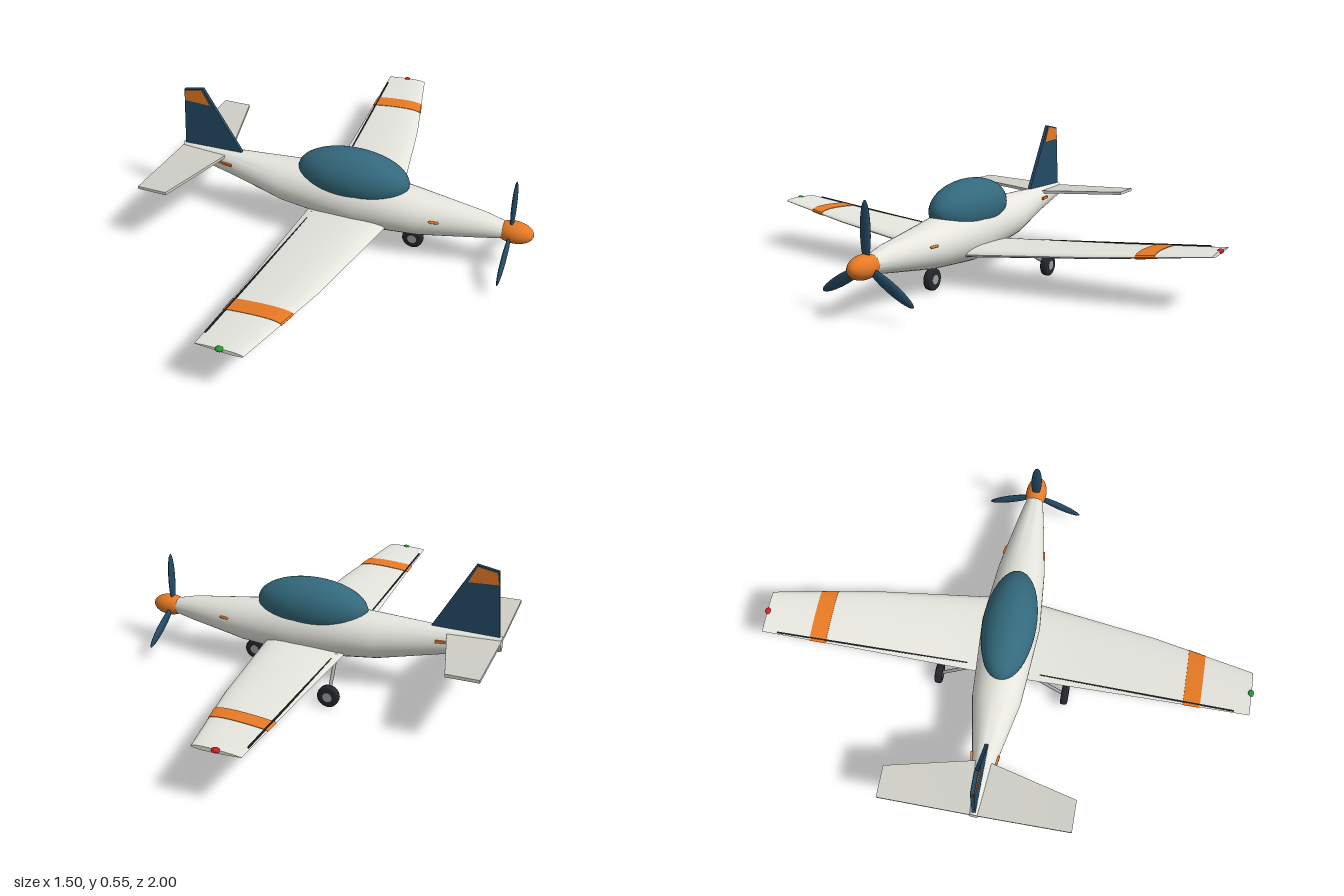
import * as THREE from 'three';
import { toCreasedNormals } from 'three/addons/utils/BufferGeometryUtils.js';

const mat = (color) => new THREE.MeshStandardMaterial({ color });
const V = (x, y, z) => new THREE.Vector3(x, y, z);

// Skin a row of closed rings and close both ends
function loft(rings, crease = 0.6) {
  const n = rings[0].length, pos = [], idx = [];
  rings.forEach((r) => r.forEach((p) => pos.push(p.x, p.y, p.z)));
  for (let i = 0; i < rings.length - 1; i++) {
    for (let j = 0; j < n; j++) {
      const a = i * n + j, b = i * n + (j + 1) % n;
      idx.push(a, a + n, b, b, a + n, b + n);
    }
  }
  [0, rings.length - 1].forEach((i) => {
    const c = rings[i].reduce((s, p) => s.add(p), V(0, 0, 0)).divideScalar(n);
    const k = pos.length / 3;
    pos.push(c.x, c.y, c.z);
    for (let j = 0; j < n; j++) {
      const a = i * n + j, b = i * n + (j + 1) % n;
      if (i === 0) idx.push(k, a, b); else idx.push(k, b, a);
    }
  });
  const g = new THREE.BufferGeometry();
  g.setAttribute('position', new THREE.Float32BufferAttribute(pos, 3));
  g.setIndex(idx);
  return toCreasedNormals(g, crease);
}

// Wing stations: z, leading edge x, trailing edge x, height y, thickness
const WING = [[0, 0.194, -0.155, 0.124, 0.044], [0.59, 0.1, -0.16, 0.171, 0.028], [0.99, 0.01, -0.167, 0.207, 0.014]];

function wingStation(z) {
  const s = Math.abs(z), i = s > WING[1][0] ? 1 : 0;
  const k = (s - WING[i][0]) / (WING[i + 1][0] - WING[i][0]);
  return WING[i].map((v, j) => THREE.MathUtils.lerp(v, WING[i + 1][j], k));
}

// Aerofoil ring: over the top from trailing to leading edge, back underneath
function wingRing(z, grow = 0) {
  const [, le, te, y, t] = wingStation(z), ring = [], n = 12;
  for (let j = 0; j < 2 * n; j++) {
    const a = (j / n) * Math.PI;
    const c = 0.5 + 0.5 * Math.cos(a); // 1 at trailing edge, 0 at leading edge
    const h = Math.sin(a) * (0.35 + 0.75 * (1 - c)) * (j < n ? 0.75 : 0.6);
    ring.push(V(le + grow - c * (le - te + 2 * grow), y + h * t + Math.sign(Math.round(h * 1e6)) * grow, z));
  }
  return ring;
}

export function createModel() {
  const root = new THREE.Group();
  root.name = 'airplane';
  const white = mat(0xe6e6df), grey = mat(0xcfcfc8), orange = mat(0xe87a24);
  const navy = mat(0x234b66), glass = mat(0x33697c), black = mat(0x24262c);
  const metal = mat(0x9a9c9e), red = mat(0xd02020), green = mat(0x1f9a30);

  const add = (name, geo, material, x = 0, y = 0, z = 0, parent = root) => {
    const m = new THREE.Mesh(geo, material);
    m.name = name;
    m.position.set(x, y, z);
    parent.add(m);
    return m;
  };
  const ball = (rx, ry, rz, w = 32, h = 20) => new THREE.SphereGeometry(1, w, h).scale(rx, ry, rz);
  const rod = (name, a, b, r, material) => {
    const m = add(name, new THREE.CylinderGeometry(r, r, a.distanceTo(b), 12), material);
    m.position.copy(a).lerp(b, 0.5);
    m.quaternion.setFromUnitVectors(V(0, 1, 0), b.clone().sub(a).normalize());
  };

  // Fuselage: x, bottom, top, half width
  const hull = [
    [-0.75, 0.22, 0.28, 0.018], [-0.52, 0.169, 0.283, 0.05], [-0.28, 0.113, 0.289, 0.098],
    [0.05, 0.07, 0.303, 0.12], [0.3, 0.09, 0.264, 0.098], [0.55, 0.13, 0.233, 0.052], [0.63, 0.146, 0.213, 0.035],
  ].map(([x, b, t, w]) => Array.from({ length: 36 }, (_, j) => {
    const a = (j / 36) * Math.PI * 2;
    return V(x, (b + t) / 2 + (t - b) / 2 * Math.sin(a), w * Math.cos(a));
  }));
  add('fuselage', loft(hull), white);
  add('canopy', ball(0.233, 0.11, 0.108, 40, 28), glass, 0.011, 0.286, 0);

  // Wing, one skin from tip to tip
  add('wing', loft([-0.99, -0.79, -0.59, -0.3, 0, 0.3, 0.59, 0.79, 0.99].map((z) => wingRing(z))), white);

  // Parts on both sides
  for (const s of [1, -1]) {
    const side = s > 0 ? 'right' : 'left';
    const band = [s * 0.73, s * 0.797].sort((a, b) => a - b);
    add(side + 'WingStripe', loft(band.map((z) => wingRing(z, 0.002))), orange);
    add(side + 'TipLight', ball(0.015, 0.009, 0.012, 16, 10), s > 0 ? green : red, -0.077, 0.211, s * 0.988);

    // Hinge line of the control surfaces
    const a = V(-0.129, 0.139, s * 0.15), b = V(-0.159, 0.204, s * 0.93);
    const hinge = add(side + 'HingeLine', new THREE.BoxGeometry(0.005, 0.008, a.distanceTo(b)), black);
    hinge.position.copy(a).lerp(b, 0.5);
    hinge.lookAt(b);

    add(side + 'Exhaust', new THREE.CapsuleGeometry(0.005, 0.03, 4, 10).rotateZ(Math.PI / 2),
      orange, 0.37, 0.2, s * 0.083).rotation.y = s * 0.15;
    add(side + 'TailMarker', new THREE.BoxGeometry(0.065, 0.01, 0.012),
      orange, -0.54, 0.24, s * 0.046).rotation.y = -s * 0.17;

    rod(side + 'GearStrut', V(-0.13, 0.135, s * 0.1), V(-0.163, 0.045, s * 0.262), 0.007, metal);
  }

  // Tailplane with slight dihedral
  const tail = [-0.37, 0, 0.37].map((z) => {
    const k = Math.abs(z) / 0.37, le = -0.538 - 0.09 * k, y = 0.262 + 0.014 * k;
    return [V(-0.75, y - 0.006, z), V(-0.75, y + 0.006, z), V(le, y + 0.006, z), V(le, y - 0.006, z)];
  });
  add('tailplane', loft(tail, 0.3), grey);

  // Fin and its coloured cap
  const plate = (pts, depth) => new THREE.ExtrudeGeometry(
    new THREE.Shape(pts.map(([x, y]) => new THREE.Vector2(x, y))), { depth, bevelEnabled: false }).translate(0, 0, -depth / 2);
  add('fin', plate([[-0.742, 0.265], [-0.475, 0.265], [-0.48, 0.285], [-0.635, 0.552], [-0.719, 0.536]], 0.014), navy);
  add('finCap', plate([[-0.722, 0.485], [-0.608, 0.48], [-0.64, 0.545], [-0.714, 0.531]], 0.018), orange);

  // Spinner and three-blade propeller
  add('spinner', ball(0.075, 0.044, 0.044), orange, 0.67, 0.178, 0);
  const prop = new THREE.Group();
  prop.name = 'propeller';
  prop.position.set(0.657, 0.178, 0);
  root.add(prop);
  for (let i = 0; i < 3; i++) {
    const blade = add('blade', ball(0.01, 0.11, 0.022, 20, 20).translate(0, 0.12, 0), navy, 0, 0, 0, prop);
    blade.rotation.x = (i * Math.PI * 2) / 3;
  }

  // Wheels: rounded tyre profile and a metal hub
  const tyre = new THREE.LatheGeometry(
    [[0.018, -0.014], [0.036, -0.015], [0.042, -0.011], [0.0435, 0], [0.042, 0.011], [0.036, 0.015], [0.018, 0.014]]
      .map(([r, y]) => new THREE.Vector2(r, y)), 32).rotateX(Math.PI / 2);
  const hub = new THREE.CylinderGeometry(0.019, 0.019, 0.031, 20).rotateX(Math.PI / 2);
  for (const [name, x, z] of [['noseWheel', 0.268, 0], ['leftWheel', -0.163, -0.265], ['rightWheel', -0.163, 0.265]]) {
    const wheel = new THREE.Group();
    wheel.name = name;
    wheel.position.set(x, 0.0435, z);
    root.add(wheel);
    add('tyre', tyre, black, 0, 0, 0, wheel);
    add('hub', hub, metal, 0, 0, 0, wheel);
  }
  rod('noseGearStrut', V(0.262, 0.13, 0), V(0.268, 0.045, 0), 0.008, metal);

  return root;
}
